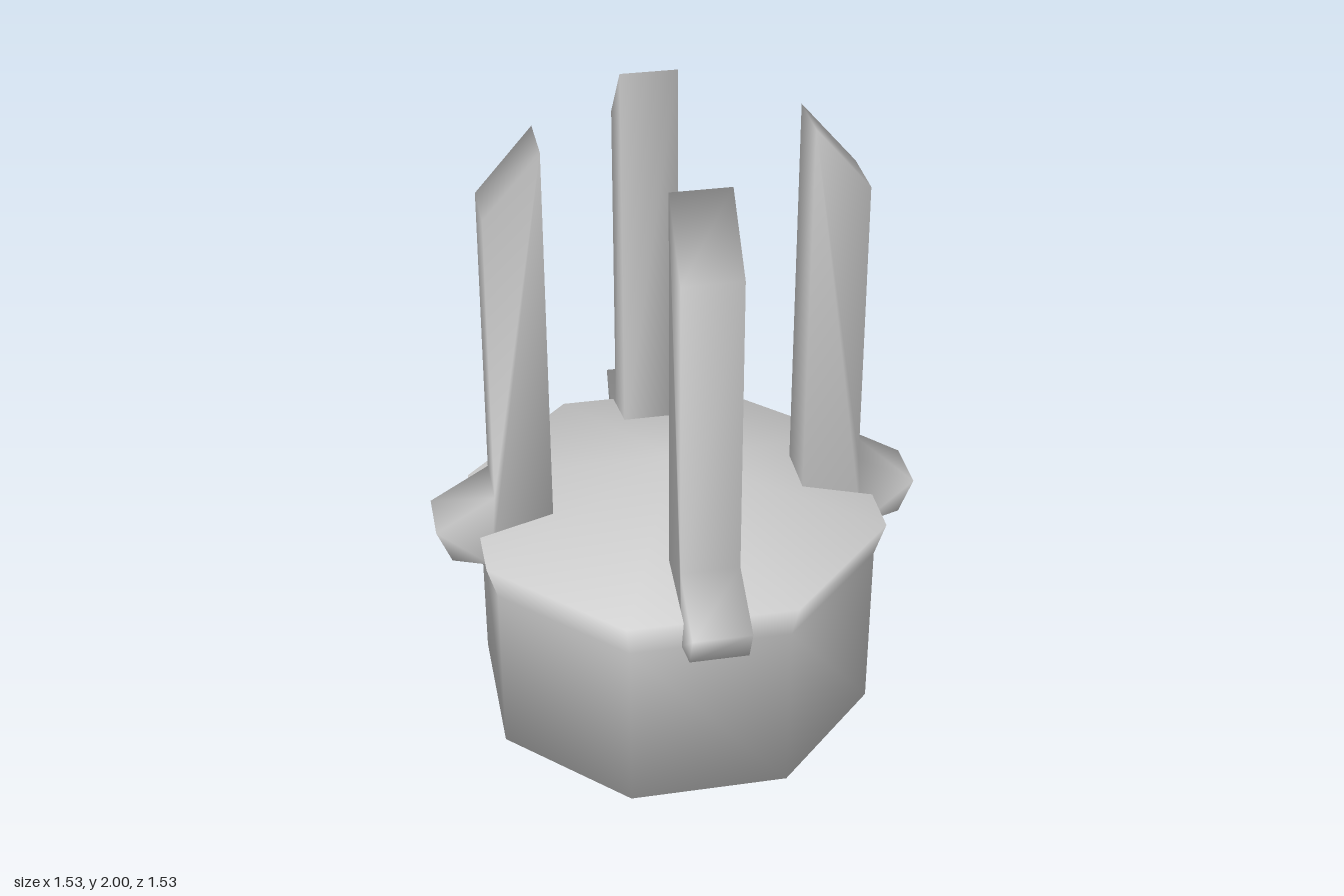
import * as THREE from 'three';
import { mergeVertices } from 'three/addons/utils/BufferGeometryUtils.js';

// Weld all corners so the low-poly shapes shade softly
function soften(geometry) {
  geometry.deleteAttribute('uv');
  geometry.deleteAttribute('normal');
  const welded = mergeVertices(geometry, 1e-3);
  welded.computeVertexNormals();
  return welded;
}

export function createModel() {
  const model = new THREE.Group();
  model.name = 'prongedBase';
  const grey = new THREE.MeshStandardMaterial({ color: 0xcccccc });

  // Eight-sided base: straight wall, flared rim, shallow pointed roof.
  // Profile gives the distance to the flat sides, scaled out to the corners.
  const toCorner = 1 / Math.cos(Math.PI / 8);
  const profile = [[0, 0], [0.6, 0], [0.6, 0.58], [0.632, 0.695], [0, 0.862]]
    .map(([r, y]) => new THREE.Vector2(r * toCorner, y));
  const base = new THREE.Mesh(soften(new THREE.LatheGeometry(profile, 8, Math.PI / 8)), grey);
  base.name = 'base';
  model.add(base);

  // Upright prong with a slanted tip and a foot hooked over the rim
  const outline = new THREE.Shape([
    [0.4, 2], [0.4, 0.7], [0.6, 0.585], [0.722, 0.62],
    [0.767, 0.73], [0.58, 0.84], [0.573, 1.8],
  ].map(([r, y]) => new THREE.Vector2(r, y)));
  const width = 0.18;
  const prongGeometry = new THREE.ExtrudeGeometry(outline, { depth: width, bevelEnabled: false });
  prongGeometry.translate(0, 0, -width / 2);
  const softProng = soften(prongGeometry);

  ['leftProng', 'backProng', 'rightProng', 'frontProng'].forEach((name, i) => {
    const prong = new THREE.Mesh(softProng, grey);
    prong.name = name;
    prong.rotation.y = i * Math.PI / 2;
    model.add(prong);
  });

  return model;
}
